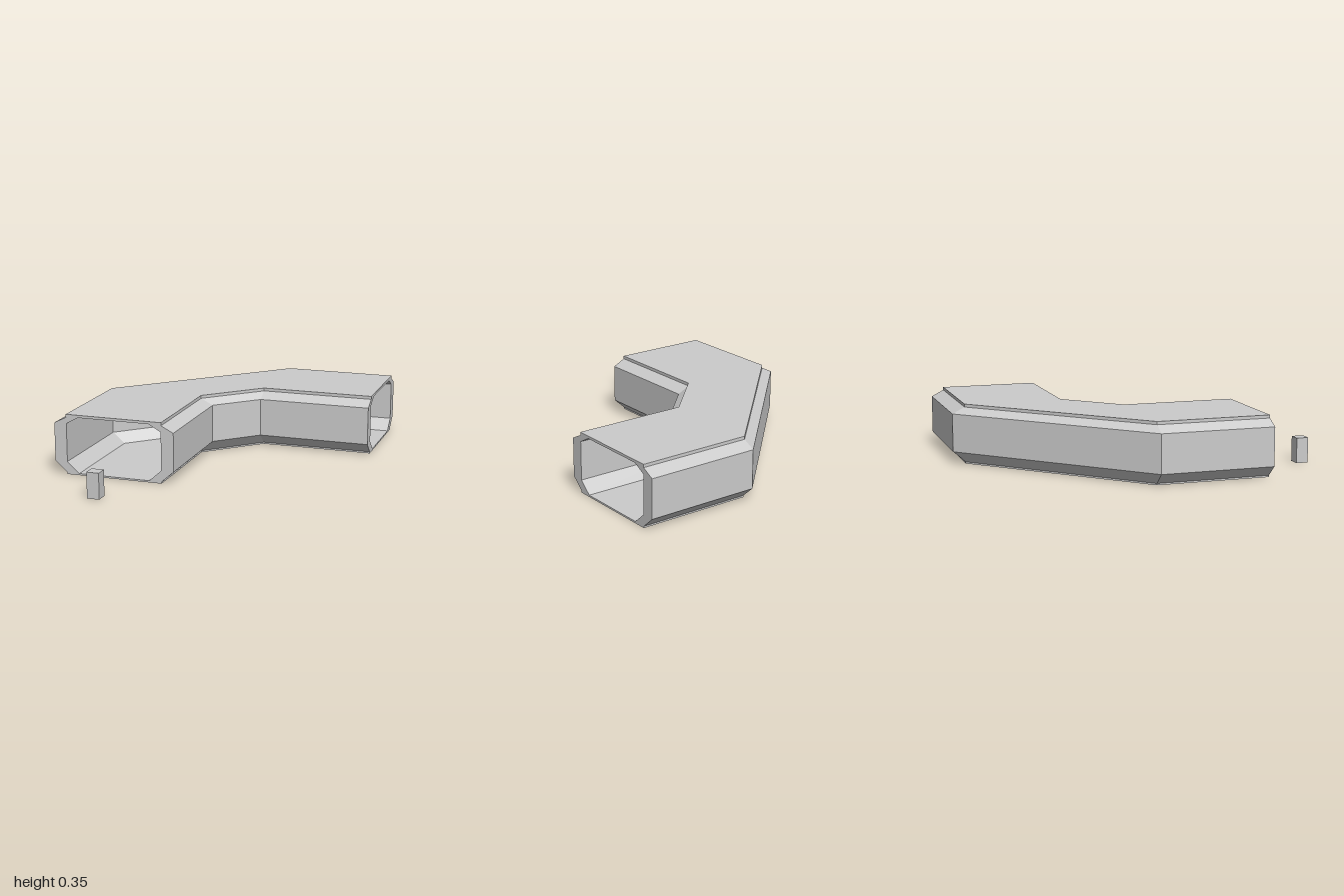
import * as THREE from 'three';

const material = new THREE.MeshStandardMaterial({ color: 0xcccccc, flatShading: true });

// Mirror a half profile (listed bottom to top on the +u side) into a closed loop
function mirrored(half) {
  const left = half.map(([u, y]) => [-u, y]).reverse();
  return [...half, ...left].map(([u, y]) => new THREE.Vector2(u, y));
}

// Hollow chamfered duct bent through two 45 degree corners
function ductGeometry() {
  const shape = new THREE.Shape(mirrored([
    [0.29, 0], [0.29, 0.01], [0.363, 0.075], [0.363, 0.3], [0.29, 0.337], [0.29, 0.355],
  ]));
  shape.holes.push(new THREE.Path(mirrored([
    [0.215, 0.01], [0.288, 0.075], [0.288, 0.3], [0.215, 0.34],
  ])));
  const geometry = new THREE.ExtrudeGeometry(shape, { depth: 3, steps: 3, bevelEnabled: false });

  // Each extrusion step becomes one cross-section of the bend
  const stations = [
    (u) => [0.813, -0.637 + u],
    (u) => [0.143, -0.637 + u],
    (u) => [-0.45 + u, -0.045],
    (u) => [-0.45 + u, 0.622],
  ];
  const p = geometry.attributes.position;
  for (let i = 0; i < p.count; i++) {
    const [x, z] = stations[Math.round(p.getZ(i))](p.getX(i));
    p.setXYZ(i, x, p.getY(i), z);
  }
  geometry.computeVertexNormals();
  return geometry;
}

export function createModel() {
  const group = new THREE.Group();
  group.name = 'bentCorridor';

  const duct = new THREE.Mesh(ductGeometry(), material);
  duct.name = 'corridorShell';
  group.add(duct);

  // Small post standing in front of the opening
  const post = new THREE.Mesh(new THREE.BoxGeometry(0.072, 0.15, 0.072), material);
  post.name = 'post';
  post.position.set(-0.412, 0.075, 0.964);
  group.add(post);

  return group;
}
